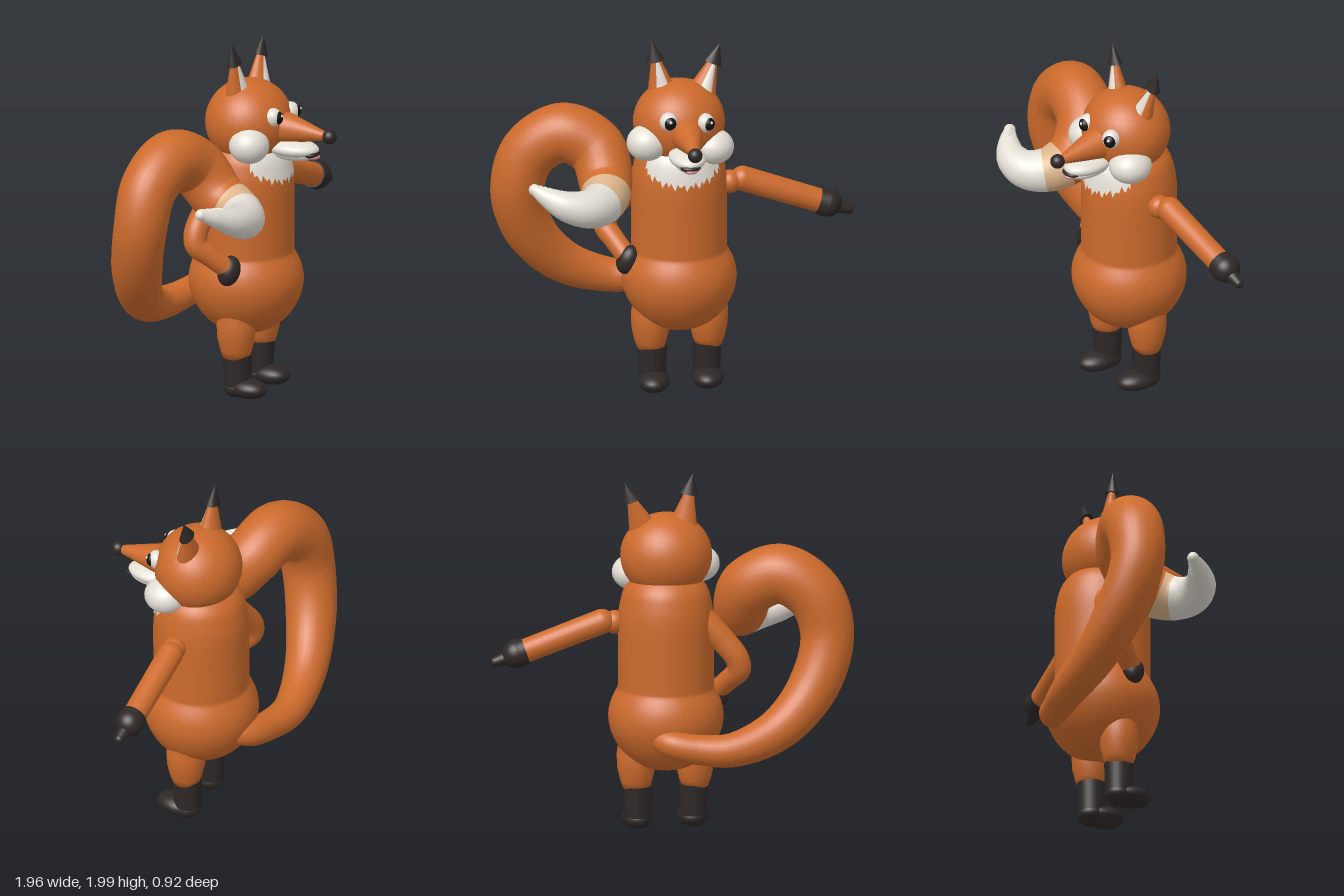
import * as THREE from 'three';

const mat = (color, extra = {}) => new THREE.MeshStandardMaterial({ color, ...extra });
const V = (p) => new THREE.Vector3(...p);

export function createModel() {
  const model = new THREE.Group();
  const orange = mat(0xcc6a2c), white = mat(0xe4dfd5), dark = mat(0x2e2826);
  const pink = mat(0xd4868c), black = mat(0x121212), cream = mat(0xdcb48a);
  const chestWhite = mat(0xe4dfd5, { side: THREE.DoubleSide });

  const add = (name, geo, material, parent = model) => {
    const m = new THREE.Mesh(geo, material);
    m.name = name;
    parent.add(m);
    return m;
  };

  // ellipsoid at p with radii r, turned about y
  const ball = (name, p, r, material, yaw = 0, parent = model) => {
    const m = add(name, new THREE.SphereGeometry(1, 32, 20), material, parent);
    m.position.set(...p);
    m.scale.set(...(Array.isArray(r) ? r : [r, r, r]));
    m.rotation.y = yaw;
    return m;
  };

  // tapered cylinder from a to b, optionally flattened in depth
  const cone = (name, a, b, ra, rb, material, sides = 24, flat = 1, parent = model) => {
    const d = V(b).sub(V(a));
    const m = add(name, new THREE.CylinderGeometry(rb, ra, d.length(), sides), material, parent);
    m.position.copy(V(a)).addScaledVector(d, 0.5);
    m.quaternion.setFromUnitVectors(new THREE.Vector3(0, 1, 0), d.normalize());
    m.scale.z = flat;
    return m;
  };

  // tube through [x, y, z, radius] stations
  const taperTube = (stations, segs, sides = 28) => {
    const curve = new THREE.CatmullRomCurve3(stations.map((s) => V(s)));
    const geo = new THREE.TubeGeometry(curve, segs, 1, sides);
    const pos = geo.attributes.position, v = new THREE.Vector3();
    for (let j = 0; j <= segs; j++) {
      const c = curve.getPointAt(j / segs);
      const t = curve.getUtoTmapping(j / segs) * (stations.length - 1);
      const k = Math.min(Math.floor(t), stations.length - 2);
      const r = THREE.MathUtils.lerp(stations[k][3], stations[k + 1][3], t - k);
      for (let i = 0; i <= sides; i++) {
        const n = j * (sides + 1) + i;
        v.fromBufferAttribute(pos, n).sub(c).multiplyScalar(r).add(c);
        pos.setXYZ(n, v.x, v.y, v.z);
      }
    }
    return geo;
  };

  // torso and hips as one turned body
  const cx = 0.048, cz = -0.105;
  const lower = new THREE.SplineCurve([[0, 0.345], [0.12, 0.36], [0.225, 0.43], [0.29, 0.53], [0.315, 0.63],
    [0.302, 0.72], [0.264, 0.8]].map((p) => new THREE.Vector2(...p)));
  const upper = new THREE.SplineCurve([[0.262, 0.81], [0.262, 1], [0.262, 1.18], [0.248, 1.29], [0.215, 1.38],
    [0.13, 1.45], [0, 1.47]].map((p) => new THREE.Vector2(...p)));
  const chestLine = upper.getPoints(40);
  const body = add('body', new THREE.LatheGeometry([...lower.getPoints(24), ...chestLine], 48), orange);
  body.position.set(cx, 0, cz);

  // chest bib with a ragged lower edge
  const bodyRadius = (y) => {
    const k = chestLine.findIndex((p) => p.y >= y), a = chestLine[k - 1], b = chestLine[k];
    return THREE.MathUtils.lerp(a.x, b.x, (y - a.y) / (b.y - a.y));
  };
  const bib = new THREE.PlaneGeometry(1, 1, 40, 10);
  const bp = bib.attributes.position;
  for (let i = 0; i < bp.count; i++) {
    const u = bp.getX(i) * 2, v = bp.getY(i) + 0.5;
    const col = Math.round((u + 1) * 20);
    const low = 1.235 + 0.07 * u * u + 0.018 * Math.sin(col * 2.3) + 0.01 * Math.sin(col * 1.1);
    const y = THREE.MathUtils.lerp(low, 1.42, v), a = 0.25 + u * 0.95, r = bodyRadius(y) + 0.005;
    bp.setXYZ(i, cx + r * Math.sin(a), y, cz + r * Math.cos(a));
  }
  bib.computeVertexNormals();
  add('chestBib', bib, chestWhite);

  // legs, boots and feet
  for (const [side, x, z] of [['left', 0.195, -0.145], ['right', -0.09, -0.035]]) {
    const leg = new THREE.Group();
    leg.name = side + 'Leg';
    const s = Math.sign(x);
    const thigh = [[0, 0.22], [0.072, 0.235], [0.088, 0.28], [0.104, 0.35], [0.108, 0.43], [0.09, 0.55]];
    add('thigh', new THREE.LatheGeometry(thigh.map((p) => new THREE.Vector2(...p)), 28), orange, leg)
      .position.set(x + 0.01 * s, 0, z);
    cone('boot', [x, 0.05, z], [x, 0.25, z], 0.074, 0.08, dark, 28, 1, leg);
    ball('heel', [x, 0.062, z], [0.078, 0.055, 0.078], dark, 0, leg);
    ball('foot', [x + 0.016, 0.064, z + 0.065], [0.086, 0.056, 0.118], dark, 0.15, leg);
    model.add(leg);
  }

  // outstretched left arm with pointing finger
  ball('leftShoulder', [0.32, 1.17, -0.17], [0.06, 0.065, 0.065], orange);
  ball('leftArmTop', [0.385, 1.178, -0.205], 0.069, orange);
  cone('leftArm', [0.385, 1.178, -0.205], [0.8, 1.02, -0.335], 0.069, 0.066, orange);
  cone('leftCuff', [0.785, 1.026, -0.33], [0.83, 1.01, -0.343], 0.074, 0.08, dark);
  ball('leftHand', [0.835, 1.01, -0.345], 0.079, dark);
  cone('leftFinger', [0.85, 1, -0.348], [0.945, 0.967, -0.375], 0.045, 0.029, dark);
  ball('leftFingertip', [0.945, 0.967, -0.375], 0.029, dark);

  // right arm bent with hand on hip
  add('rightArm', taperTube([[-0.15, 1.21, -0.12, 0.07], [-0.25, 1.1, -0.11, 0.07], [-0.345, 0.98, -0.1, 0.066],
    [-0.355, 0.91, -0.085, 0.064], [-0.3, 0.85, -0.04, 0.058], [-0.22, 0.77, 0.02, 0.056]], 40), orange);
  ball('rightHand', [-0.215, 0.76, 0.025], [0.062, 0.085, 0.062], dark).rotation.z = -0.4;

  // curling tail, split into orange, blend and white bands along its length
  const tailSegs = 140, tailSides = 28;
  const tail = taperTube([[0.05, 0.57, -0.34, 0.06], [-0.04, 0.55, -0.39, 0.075], [-0.2, 0.525, -0.385, 0.083],
    [-0.38, 0.53, -0.36, 0.095], [-0.61, 0.635, -0.25, 0.118], [-0.78, 0.86, -0.12, 0.14],
    [-0.835, 1.12, -0.04, 0.147], [-0.765, 1.34, -0.04, 0.157], [-0.58, 1.452, -0.05, 0.165],
    [-0.4, 1.37, -0.04, 0.162], [-0.335, 1.22, 0.06, 0.148], [-0.325, 1.16, 0.21, 0.125],
    [-0.39, 1.15, 0.32, 0.108], [-0.5, 1.17, 0.355, 0.088], [-0.61, 1.205, 0.33, 0.058],
    [-0.695, 1.235, 0.288, 0.03]], tailSegs, tailSides);
  const tailIndex = Array.from(tail.index.array);
  for (const [name, from, to, m] of [['tail', 0, 113, orange], ['tailBlend', 113, 118, cream],
    ['tailTip', 118, tailSegs, white]]) {
    const part = tail.clone();
    part.setIndex(tailIndex.slice(from * tailSides * 6, to * tailSides * 6));
    add(name, part, m);
  }
  ball('tailEnd', [-0.695, 1.235, 0.288], 0.032, white);
  for (const [t, r] of [[0, 0.035], [0.33, 0.045], [0.67, 0.054], [1, 0.063]])
    ball('tailRidge', [-0.685 + 0.085 * t, 1.232 - 0.03 * t, 0.293 + 0.04 * t], [0.022, r, r], white, 0.5);

  // head, turned a little to its left
  const yaw = 0.32;
  const head = new THREE.Group();
  head.name = 'head';
  model.add(head);
  ball('skull', [0.05, 1.54, -0.085], [0.252, 0.235, 0.238], orange, yaw, head);
  ball('rightCheek', [-0.105, 1.46, 0.07], [0.112, 0.1, 0.11], white, yaw, head);
  ball('leftCheek', [0.245, 1.42, -0.03], [0.115, 0.097, 0.12], white, yaw, head);

  // snout, nose and mouth
  cone('snout', [0.105, 1.53, 0.06], [0.198, 1.51, 0.365], 0.105, 0.022, orange, 32, 1, head);
  ball('nose', [0.202, 1.51, 0.383], 0.04, dark, 0, head);
  ball('muzzle', [0.13, 1.42, 0.17], [0.1, 0.05, 0.155], white, yaw, head);
  ball('jaw', [0.135, 1.39, 0.17], [0.075, 0.04, 0.14], white, yaw, head);
  ball('mouth', [0.163, 1.402, 0.285], [0.056, 0.021, 0.043], dark, yaw, head);
  ball('tongue', [0.165, 1.388, 0.291], [0.04, 0.016, 0.042], pink, yaw, head);

  // eyes
  for (const [side, x, y, z, a] of [['right', 0.022, 1.605, 0.125, 0.05], ['left', 0.215, 1.59, 0.07, 0.55]]) {
    const eye = new THREE.Group();
    eye.name = side + 'Eye';
    eye.position.set(x, y, z);
    eye.rotation.y = a;
    ball('eyeball', [0, 0, 0], [0.05, 0.053, 0.05], white, 0, eye);
    ball('pupil', [0.008, 0, 0.026], [0.036, 0.038, 0.03], black, 0, eye);
    ball('glint', [0.016, 0.013, 0.05], 0.009, white, 0, eye);
    head.add(eye);
  }

  // ears: orange cone, pale inner face, dark flared tip
  for (const [side, base, mid, tip] of [
    ['right', [-0.04, 1.69, -0.08], [-0.075, 1.885, -0.072], [-0.097, 2, -0.068]],
    ['left', [0.165, 1.68, -0.13], [0.223, 1.855, -0.17], [0.262, 1.96, -0.185]]]) {
    const ear = new THREE.Group();
    ear.name = side + 'Ear';
    const shift = (p, dx, dz) => [p[0] + dx, p[1], p[2] + dz];
    cone('earShell', base, mid, 0.085, 0.028, orange, 20, 0.7, ear);
    cone('innerEar', shift(base, 0.012, 0.03), shift(mid, 0.006, 0.01), 0.052, 0.014, white, 16, 0.7, ear);
    cone('earTip', mid, tip, 0.052, 0.001, dark, 16, 0.7, ear).rotateY(0.2);
    head.add(ear);
  }

  return model;
}
